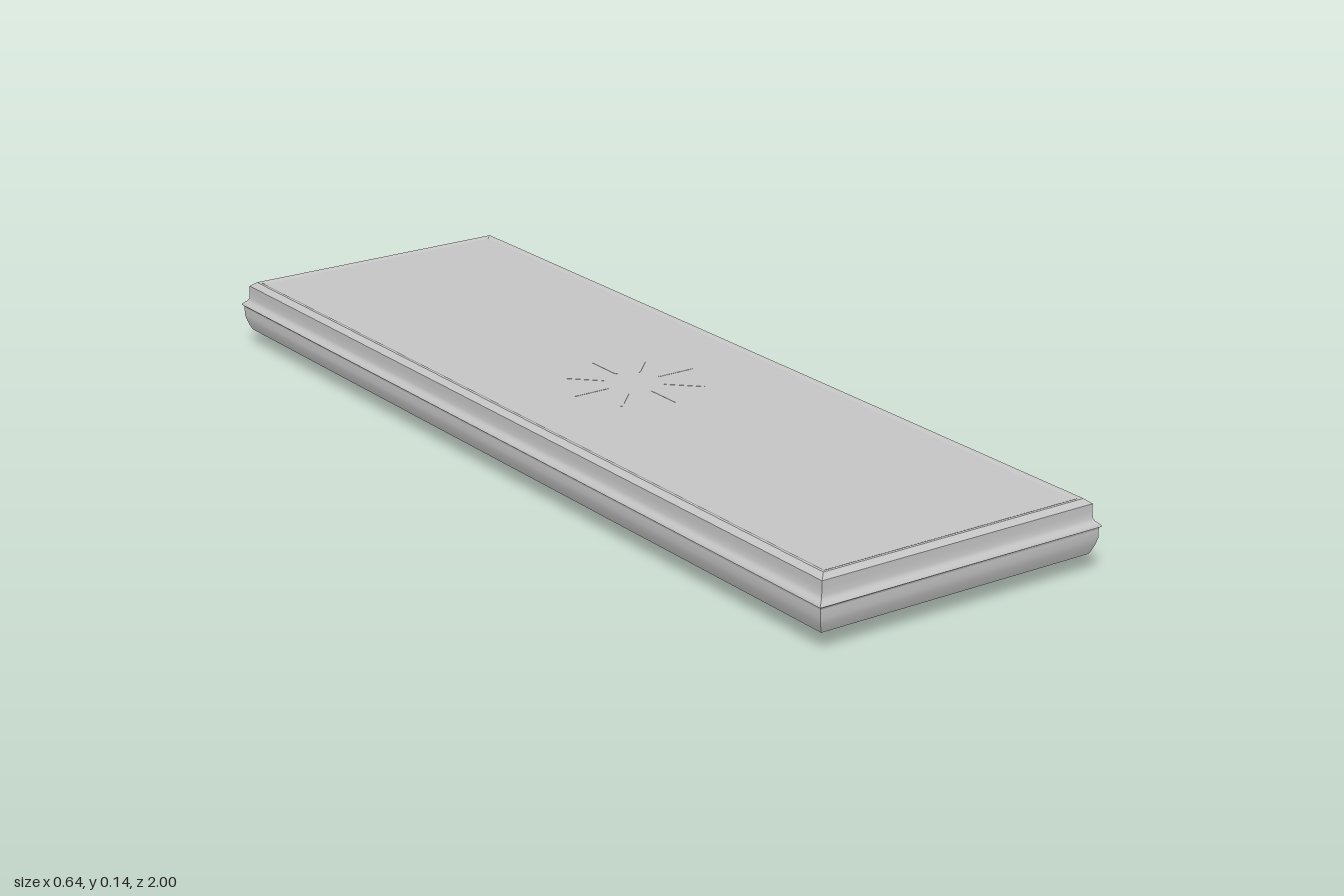
import * as THREE from 'three';

const HALF_X = 0.32, HALF_Z = 1.0;

// Mitred moulding: a profile of [half width, y], listed upward, run round the slab
function moulding(profile) {
  const pos = [], idx = [];
  const corner = (k, w) => {
    const d = w - HALF_X;
    return [(k < 2 ? 1 : -1) * w, (k === 0 || k === 3 ? 1 : -1) * (HALF_Z + d)];
  };
  for (let side = 0; side < 4; side++) {
    const base = pos.length / 3;
    profile.forEach(([w, y], i) => {
      for (const k of [side, (side + 1) % 4]) {
        const [x, z] = corner(k, w);
        pos.push(x, y, z);
      }
      if (i === 0) return;
      const a = base + (i - 1) * 2;
      idx.push(a, a + 1, a + 3, a, a + 3, a + 2);
    });
  }
  const g = new THREE.BufferGeometry();
  g.setAttribute('position', new THREE.Float32BufferAttribute(pos, 3));
  g.setIndex(idx);
  g.computeVertexNormals();
  return g;
}

// Bar with a bevelled underside, running along z
function ribGeometry(width, length, top, bottom) {
  const h = width / 2, s = new THREE.Shape();
  s.moveTo(-h, top);
  s.lineTo(-h, bottom + 0.004);
  s.lineTo(-h * 0.6, bottom);
  s.lineTo(h * 0.6, bottom);
  s.lineTo(h, bottom + 0.004);
  s.lineTo(h, top);
  return new THREE.ExtrudeGeometry(s, { depth: length, bevelEnabled: false })
    .translate(0, 0, -length / 2);
}

export function createModel() {
  const model = new THREE.Group();
  model.name = 'slab';
  const stone = new THREE.MeshStandardMaterial({ color: 0xc4c4c4 });
  stone.name = 'pale grey stone';

  const add = (name, geometry, parent = model) => {
    const m = new THREE.Mesh(geometry, stone);
    m.name = name;
    parent.add(m);
    return m;
  };

  // Moulded edge, in bands so the creases stay sharp
  add('bottomEdge', moulding([[0.3, 0.035], [0.305, 0.037]]));
  add('lowerBulge', moulding([[0.305, 0.037], [0.309, 0.046], [0.313, 0.057], [0.316, 0.069], [0.316, 0.085]]));
  add('lipUnderside', moulding([[0.316, 0.085], [0.3165, 0.089], [0.32, 0.091]]));
  add('lipTop', moulding([[0.32, 0.091], [0.32, 0.093], [0.316, 0.097]]));
  add('upperCove', moulding([[0.316, 0.097], [0.311, 0.101], [0.308, 0.107], [0.307, 0.12], [0.307, 0.134]]));
  add('topChamfer', moulding([[0.307, 0.134], [0.295, 0.143]]));
  add('topRim', moulding([[0.295, 0.143], [0.289, 0.143]]));
  add('rimInside', moulding([[0.289, 0.143], [0.283, 0.14]]));
  add('panelBorder', moulding([[0.283, 0.14], [0.275, 0.14]]));

  // Flat faces
  const flat = (w, y, turn) => new THREE.PlaneGeometry(2 * w, 2 * (HALF_Z + w - HALF_X))
    .rotateX(turn).translate(0, y, 0);
  add('topPanel', flat(0.275, 0.14, -Math.PI / 2));
  add('underside', flat(0.3, 0.035, Math.PI / 2));

  // Eight faint rays, almost flush with the top panel
  const rays = new THREE.Group();
  rays.name = 'rays';
  model.add(rays);
  for (let i = 0; i < 8; i++) {
    const ray = add('ray', new THREE.BoxGeometry(0.08, 0.001, 0.004).translate(0.1, 0.1401, 0), rays);
    ray.rotation.y = i * Math.PI / 4;
  }

  // Grid of ribs underneath
  const ribs = new THREE.Group();
  ribs.name = 'undersideRibs';
  model.add(ribs);
  const crossRib = ribGeometry(0.017, 0.57, 0.037, 0.024);
  for (let i = -3; i <= 3; i++) {
    const rib = add('crossRib', crossRib, ribs);
    rib.rotation.y = Math.PI / 2;
    rib.position.z = i * 0.286;
  }
  const longRib = ribGeometry(0.014, 1.88, 0.037, 0.027);
  for (const s of [-1, 1]) add('longRib', longRib, ribs).position.x = s * 0.143;

  // Round knob at the centre of the underside
  add('knob', new THREE.SphereGeometry(0.0285, 10, 8).translate(0, 0.0285, 0));

  return model;
}
